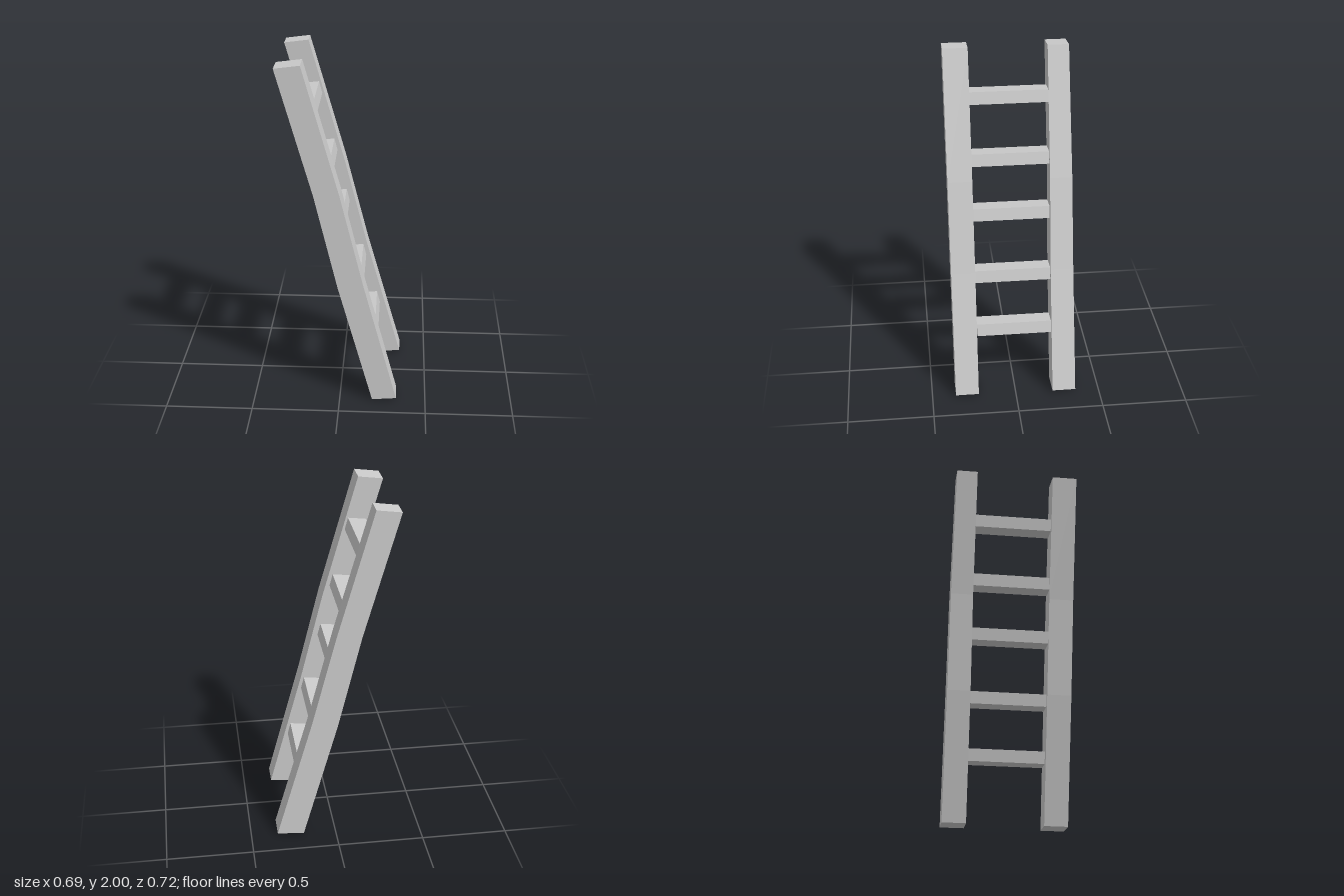
import * as THREE from 'three';

const material = new THREE.MeshStandardMaterial({ color: 0xcccccc, flatShading: true });

// Beam through four-cornered sections, bottom to top.
// Section: [left x, left y, right x, right y, near z, far z]
function beam(sections, name) {
  const rows = sections.map(([xl, yl, xr, yr, zn, zf]) => [
    [xr, yr, zn], [xr, yr, zf], [xl, yl, zf], [xl, yl, zn],
  ]);
  const pos = [];
  const quad = (a, b, c, d) => pos.push(...a, ...b, ...c, ...a, ...c, ...d);
  for (let i = 0; i < rows.length - 1; i++) {
    for (let j = 0; j < 4; j++) {
      const k = (j + 1) % 4;
      quad(rows[i][j], rows[i][k], rows[i + 1][k], rows[i + 1][j]);
    }
  }
  const [p, q, r, s] = rows[0];
  quad(s, r, q, p);
  quad(...rows[rows.length - 1]);
  const geometry = new THREE.BufferGeometry();
  geometry.setAttribute('position', new THREE.Float32BufferAttribute(pos, 3));
  geometry.computeVertexNormals();
  const mesh = new THREE.Mesh(geometry, material);
  mesh.name = name;
  return mesh;
}

export function createModel() {
  const ladder = new THREE.Group();
  ladder.name = 'ladder';

  // Slightly bent side rails
  ladder.add(beam([
    [0.19, 0, 0.33, 0.012, 0.36, 0.223],
    [-0.012, 0.72, 0.132, 0.74, 0.36, 0.219],
    [-0.145, 1.27, 0, 1.27, 0.36, 0.218],
    [-0.35, 1.982, -0.207, 2, 0.36, 0.217],
  ], 'frontRail'));
  ladder.add(beam([
    [0.19, 0, 0.345, 0.015, -0.22, -0.358],
    [-0.012, 0.72, 0.137, 0.74, -0.224, -0.358],
    [-0.145, 1.27, 0, 1.27, -0.23, -0.359],
    [-0.35, 1.982, -0.21, 2, -0.232, -0.353],
  ], 'backRail'));

  // Rungs, placed by their upper right edge and tilted with the rails
  const rungEdges = [[0.2, 0.423], [0.113, 0.74], [0.01, 1.095], [-0.063, 1.411], [-0.151, 1.757]];
  rungEdges.forEach(([x, y], i) => {
    ladder.add(beam([
      [x - 0.087, y - 0.081, x + 0.018, y - 0.07, 0.218, -0.232],
      [x - 0.105, y - 0.012, x, y, 0.218, -0.232],
    ], `rung${i + 1}`));
  });

  return ladder;
}
